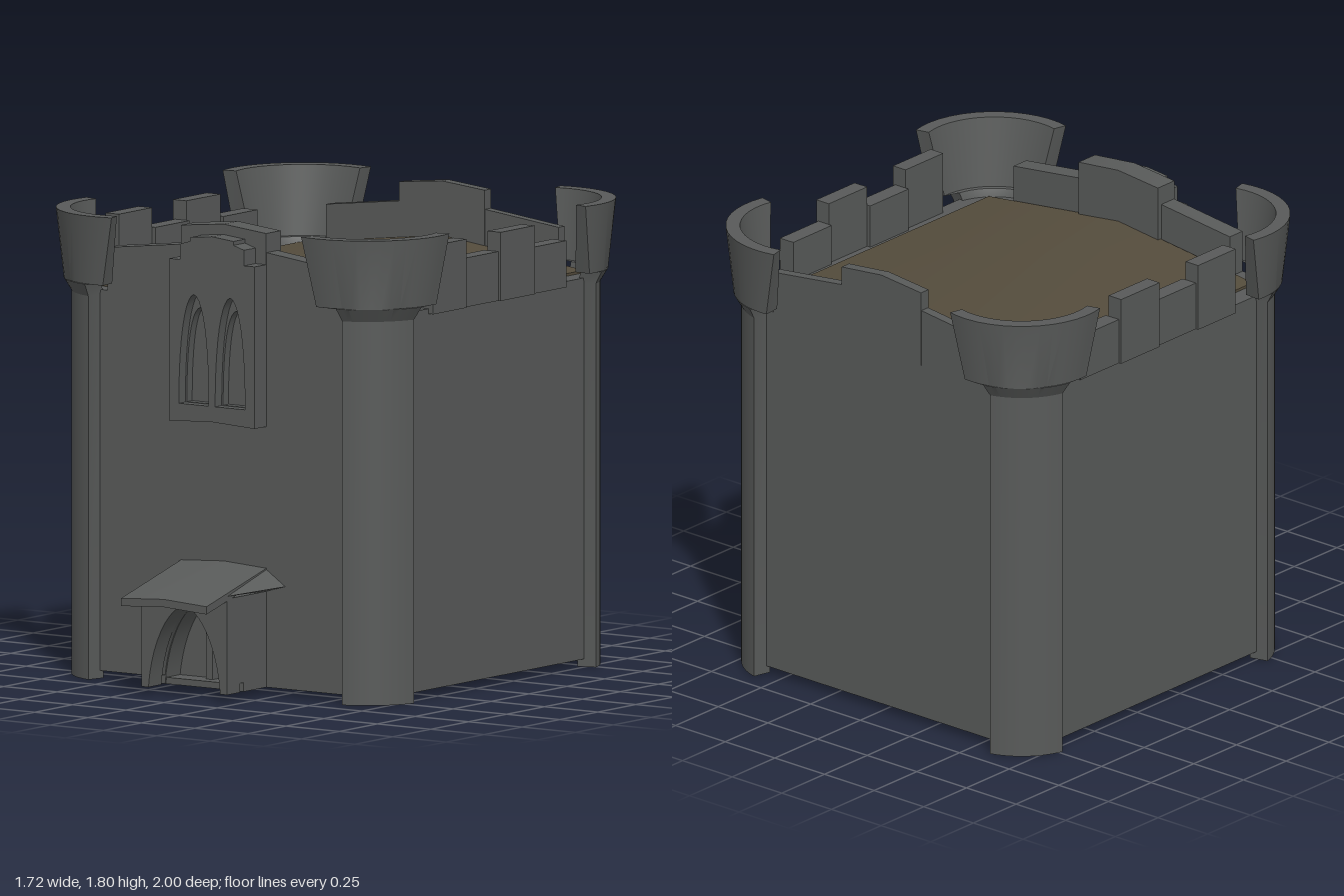
import * as THREE from 'three';
import { toCreasedNormals } from 'three/addons/utils/BufferGeometryUtils.js';
import { ConvexGeometry } from 'three/addons/geometries/ConvexGeometry.js';

const stone = new THREE.MeshStandardMaterial({ color: 0x585a59 });
const planks = new THREE.MeshStandardMaterial({ color: 0x544c3c });

function add(parent, name, geometry, material = stone) {
  const mesh = new THREE.Mesh(geometry, material);
  mesh.name = name;
  parent.add(mesh);
  return mesh;
}

// Box given by its limits on each axis
function box(x0, x1, y0, y1, z0, z1) {
  return new THREE.BoxGeometry(x1 - x0, y1 - y0, z1 - z0)
    .translate((x0 + x1) / 2, (y0 + y1) / 2, (z0 + z1) / 2);
}

// Outline in x and y, extruded from z0 to z1
function slab(shape, z0, z1) {
  const g = new THREE.ExtrudeGeometry(shape, { depth: z1 - z0, bevelEnabled: false, curveSegments: 10 });
  return toCreasedNormals(g.translate(0, 0, z0), 0.5);
}

// Outline symmetric in x, from the points of its right half, bottom to top
function mirrored(half) {
  const left = half.filter(p => p[0] !== 0).reverse().map(([x, y]) => [-x, y]);
  return new THREE.Shape([...half, ...left].map(p => new THREE.Vector2(...p)));
}

// Curved wall around a corner; levels are [y, inner radius, outer radius, degrees past the quarter]
function cornerWall(levels, n = 14) {
  const pos = [], idx = [], m = 2 * (n + 1);
  for (const [y, rIn, rOut, over] of levels) {
    for (let i = 0; i < m; i++) {
      const k = i <= n ? i : m - 1 - i;
      const t = THREE.MathUtils.degToRad(-over + (90 + 2 * over) * k / n);
      const r = i <= n ? rOut : rIn;
      pos.push(r * Math.cos(t), y, r * Math.sin(t));
    }
  }
  for (let l = 0; l < levels.length - 1; l++) {
    for (let i = 0; i < m; i++) {
      const a = l * m + i, b = l * m + (i + 1) % m;
      idx.push(a, a + m, b, b, a + m, b + m);
    }
  }
  const top = (levels.length - 1) * m;
  for (let i = 0; i < n; i++) {
    const o = i, p = i + 1, q = m - 1 - i, s = m - 2 - i;
    idx.push(o, p, q, p, s, q);
    idx.push(top + o, top + q, top + p, top + p, top + q, top + s);
  }
  const g = new THREE.BufferGeometry();
  g.setAttribute('position', new THREE.Float32BufferAttribute(pos, 3));
  g.setIndex(idx);
  return toCreasedNormals(g, 0.4);
}

// Pointed window opening centred on cx
function lancet(cx, w, y0, peak) {
  const p = new THREE.Path();
  p.moveTo(cx - w, y0);
  p.bezierCurveTo(cx - w, y0 + 0.25, cx - w * 0.6, peak - 0.01, cx, peak);
  p.bezierCurveTo(cx + w * 0.6, peak - 0.01, cx + w, y0 + 0.25, cx + w, y0);
  p.closePath();
  return p;
}

// Porch wall with the pointed doorway cut out of its foot
function doorArch(y0, z0, z1) {
  const s = new THREE.Shape();
  s.moveTo(-0.2, y0);
  s.lineTo(-0.168, y0);
  s.bezierCurveTo(-0.155, 0.2, -0.08, 0.34, 0, 0.36);
  s.bezierCurveTo(0.08, 0.34, 0.155, 0.2, 0.168, y0);
  s.lineTo(0.2, y0);
  s.lineTo(0.2, 0.4);
  s.lineTo(-0.2, 0.4);
  s.closePath();
  return slab(s, z0, z1);
}

export function createModel() {
  const model = new THREE.Group();
  model.name = 'castleKeep';

  // Main block, its corners cut back behind the towers
  const plan = new THREE.Shape([
    [0.66, -0.605], [0.745, -0.52], [0.745, 0.79], [0.66, 0.875],
    [-0.66, 0.875], [-0.745, 0.79], [-0.745, -0.52], [-0.66, -0.605],
  ].map(p => new THREE.Vector2(...p)));
  const block = new THREE.ExtrudeGeometry(plan, { depth: 1.47, bevelEnabled: false });
  add(model, 'keepWalls', block.rotateX(-Math.PI / 2).translate(0, 0.03, 0));

  // Shallow gabled roof deck
  const gable = mirrored([[0.665, 1.49], [0.665, 1.51], [0, 1.59]]);
  add(model, 'roofDeck', slab(gable, -0.835, 0.525), planks);

  // Corner towers: shaft, flare and open crown
  const tower = cornerWall([
    [0, 0.2, 0.275, -14.7],
    [1.48, 0.2, 0.275, -14.7],
    [1.53, 0.22, 0.305, -12],
    [1.532, 0.235, 0.305, 4.7],
    [1.8, 0.28, 0.335, 14],
  ]);
  [[1, 1], [1, -1], [-1, -1], [-1, 1]].forEach(([sx, sz], i) => {
    const t = add(model, 'cornerTower', tower);
    t.position.set(sx * 0.525, 0, sz > 0 ? 0.395 : -0.665);
    t.rotation.y = i * Math.PI / 2;
  });

  // Front and back parapets with a raised middle
  const low = mirrored([[0.545, 1.48], [0.545, 1.665], [0, 1.73]]);
  const high = mirrored([[0.2, 1.48], [0.2, 1.78], [0, 1.8]]);
  add(model, 'frontParapet', slab(low, 0.53, 0.605));
  add(model, 'frontMerlon', slab(high, 0.51, 0.607));
  add(model, 'backParapet', slab(low, -0.875, -0.835));
  add(model, 'backMerlon', slab(high, -0.877, -0.833));

  // Side parapets: low, high, low, high from back to front
  const steps = [[-0.59, -0.365, 1.66, 0.69, 0.757], [-0.365, -0.14, 1.745, 0.705, 0.768],
    [-0.14, 0.085, 1.67, 0.69, 0.757], [0.085, 0.305, 1.745, 0.705, 0.768]];
  for (const side of [-1, 1]) {
    for (const [z0, z1, y, xIn, xOut] of steps) {
      const xs = [side * xIn, side * xOut].sort((a, b) => a - b);
      add(model, 'sideParapet', box(xs[0], xs[1], 1.48, y, z0, z1));
    }
  }

  // Window bay with a stepped head and twin lancets
  const bay = mirrored([[0, 1.045], [0.2, 1.035], [0.2, 1.66], [0.15, 1.66],
    [0.15, 1.72], [0.1, 1.735], [0.1, 1.75], [0, 1.76]]);
  const inner = mirrored([[0.19, 1.09], [0.19, 1.6]]);
  for (const c of [-0.085, 0.085]) {
    bay.holes.push(lancet(c, 0.07, 1.105, 1.53));
    inner.holes.push(lancet(c, 0.063, 1.107, 1.475));
  }
  add(model, 'windowBay', slab(bay, 0.6, 0.683));
  add(model, 'windowFrames', slab(inner, 0.6, 0.64));

  // Porch: front arch, inner arch and the walls joining them
  const porch = new THREE.Group();
  porch.name = 'porch';
  model.add(porch);
  add(porch, 'frontArch', doorArch(0.03, 0.78, 0.865));
  add(porch, 'innerArch', doorArch(0.03, 0.6, 0.755));
  add(porch, 'archLink', doorArch(0.065, 0.755, 0.78));
  add(porch, 'doorLeaves', box(-0.18, 0.18, 0.03, 0.38, 0.6, 0.66));
  add(porch, 'doorSill', box(-0.168, 0.168, 0.03, 0.055, 0.6, 0.75));
  add(porch, 'doorPost', box(-0.015, 0.015, 0.03, 0.358, 0.6, 0.7));

  // Sloping canopy with a faint ridge, and the wedge wings under it
  const canopy = new THREE.BoxGeometry(0.4, 0.03, 0.4, 2, 1, 1).translate(0, 0, 0.8);
  const p = canopy.attributes.position;
  for (let i = 0; i < p.count; i++) {
    p.setY(i, p.getY(i) + 0.487 - 0.26 * (p.getZ(i) - 0.6) - 0.06 * Math.abs(p.getX(i)));
  }
  canopy.computeVertexNormals();
  add(porch, 'canopy', canopy);
  const wedge = [];
  for (const s of [-1, 1]) {
    for (const [x, y, z] of [[0.2, 0.485, 0.6], [0.29, 0.425, 0.6], [0.2, 0.41, 0.86], [0.2, 0.4, 0.6]]) {
      wedge.push(new THREE.Vector3(s * x, y, z));
    }
  }
  add(porch, 'canopyWings', new ConvexGeometry(wedge));

  return model;
}
